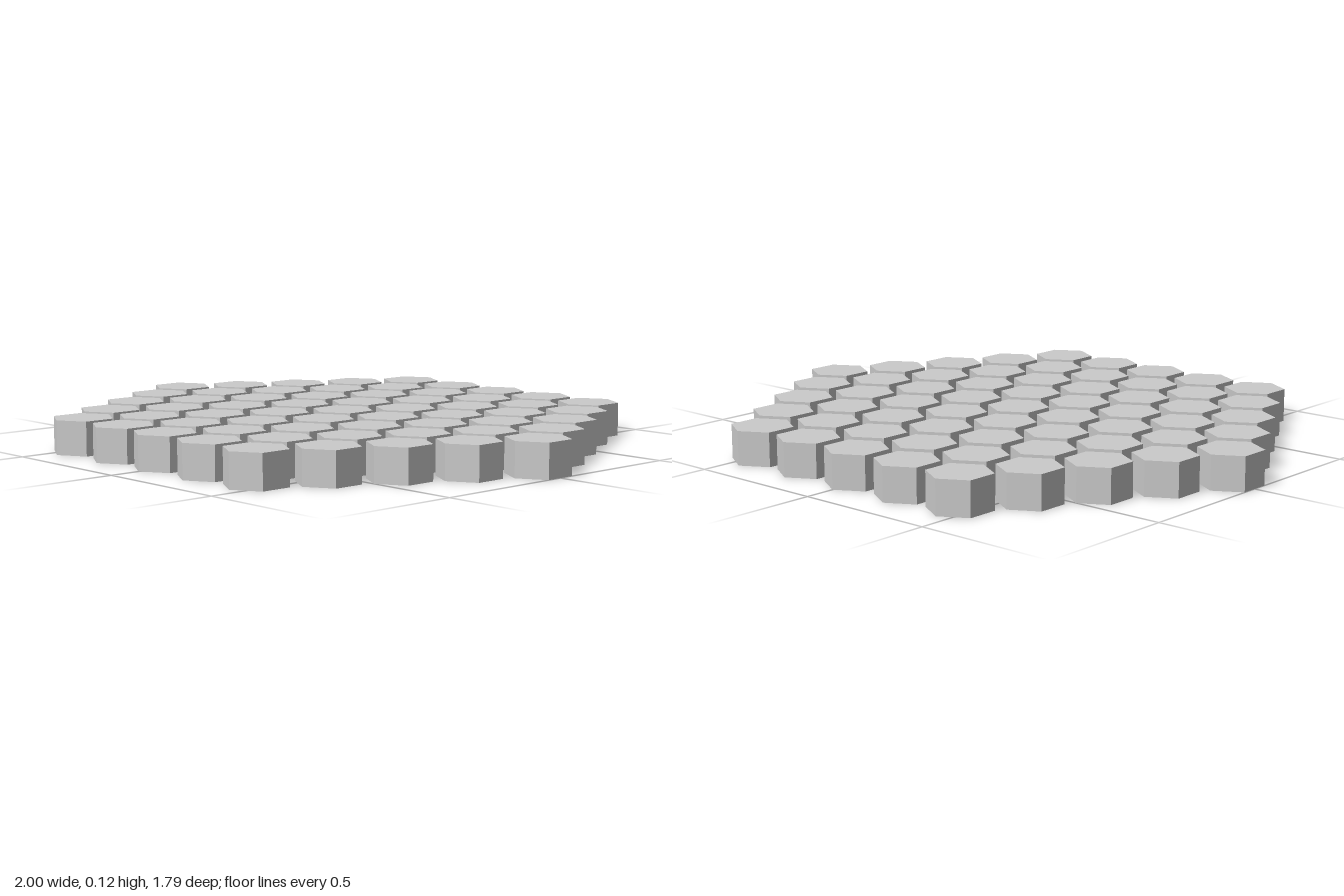
import * as THREE from 'three';

export function createModel() {
  const group = new THREE.Group();
  group.name = 'hexTileBoard';

  const rings = 4;                            // tiles from centre to corner
  const radius = 0.1089;                      // tile centre to vertex
  const height = 0.118;
  const spacing = radius * Math.sqrt(3) * 1.2; // leaves an even gap between tiles
  const rowStep = spacing * Math.sqrt(3) / 2;

  const material = new THREE.MeshStandardMaterial({ color: 0xcccccc, flatShading: true });
  // Six-sided prism, points along z and flat sides along x
  const prism = new THREE.CylinderGeometry(radius, radius, height, 6);
  prism.translate(0, height / 2, 0);

  // Rows of 5, 6, 7, 8, 9, 8, 7, 6 and 5 tiles
  for (let row = -rings; row <= rings; row++) {
    const count = 2 * rings + 1 - Math.abs(row);
    const rowGroup = new THREE.Group();
    rowGroup.name = `tileRow${row + rings + 1}`;
    rowGroup.position.z = row * rowStep;
    for (let i = 0; i < count; i++) {
      const tile = new THREE.Mesh(prism, material);
      tile.name = `hexTile${i + 1}`;
      tile.position.x = (i - (count - 1) / 2) * spacing;
      rowGroup.add(tile);
    }
    group.add(rowGroup);
  }
  return group;
}
